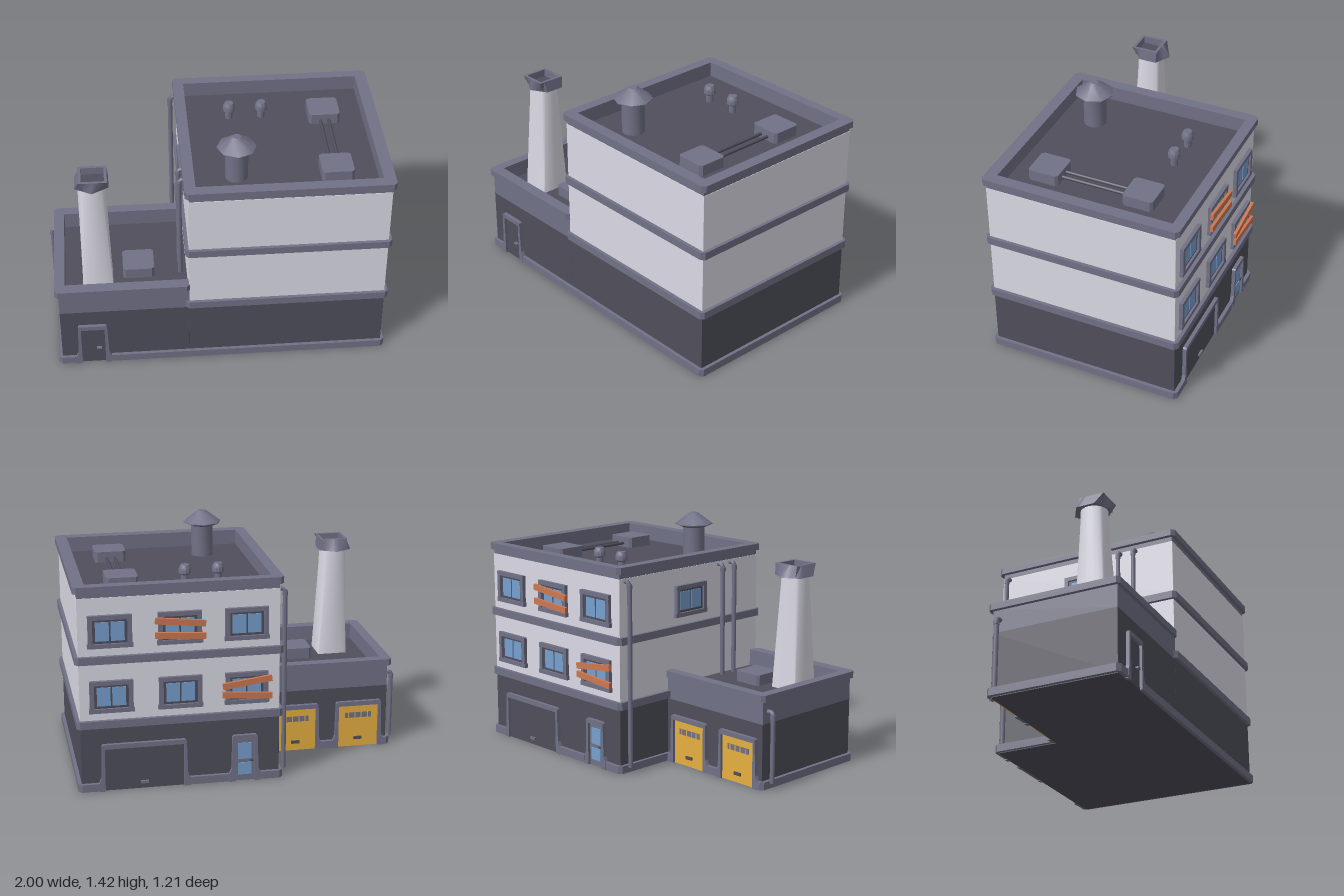
import * as THREE from 'three';
import { toCreasedNormals } from 'three/addons/utils/BufferGeometryUtils.js';

const material = (name, color) => {
  const m = new THREE.MeshStandardMaterial({ color });
  m.name = name;
  return m;
};

export function createModel() {
  const dark = material('dark grey', 0x4f4e5b);
  const trim = material('slate trim', 0x717187);
  const pale = material('pale wall', 0xdbdae5);
  const yellow = material('yellow door', 0xe8b040);
  const blue = material('blue glass', 0x76a0cf);
  const wood = material('orange wood', 0xcc7852);

  const model = new THREE.Group();
  model.name = 'building';

  const add = (parent, name, geo, mat, x = 0, y = 0, z = 0) => {
    const mesh = new THREE.Mesh(geo, mat);
    mesh.name = name;
    mesh.position.set(x, y, z);
    parent.add(mesh);
    return mesh;
  };
  const box = (parent, name, mat, w, h, d, x, y, z) =>
    add(parent, name, new THREE.BoxGeometry(w, h, d), mat, x, y, z);

  // upright prism over a floor plan given in x and z
  const prism = (name, mat, plan, y0, y1, opening) => {
    const points = list => list.map(([x, z]) => new THREE.Vector2(x, -z));
    const shape = new THREE.Shape(points(plan));
    if (opening) shape.holes.push(new THREE.Path(points(opening)));
    const geo = new THREE.ExtrudeGeometry(shape, { depth: y1 - y0, bevelEnabled: false });
    add(model, name, geo.rotateX(-Math.PI / 2), mat, 0, y0, 0);
  };
  // rectangular slab with cut corners and an optional rectangular opening
  const rectangle = ([x0, x1, z0, z1], c) => [
    [x0, z0 + c], [x0, z1 - c], [x0 + c, z1], [x1 - c, z1],
    [x1, z1 - c], [x1, z0 + c], [x1 - c, z0], [x0 + c, z0],
  ];
  const slab = (name, mat, rect, y0, y1, cut, hole) =>
    prism(name, mat, rectangle(rect, cut), y0, y1, hole && rectangle(hole, 0.001).reverse());

  // main block
  const wall = [-0.18, 0.98, -0.565, 0.585], edge = [-0.2, 1, -0.587, 0.605];
  const well = [-0.135, 0.93, -0.525, 0.535], lining = [-0.177, 0.977, -0.562, 0.582];
  slab('groundFloor', dark, wall, 0.005, 0.4, 0.001);
  slab('lowerBand', trim, edge, 0.39, 0.435, 0.02);
  slab('middleFloor', pale, wall, 0.435, 0.78, 0.001);
  slab('upperBand', trim, edge, 0.775, 0.82, 0.02);
  slab('topFloor', pale, wall, 0.82, 1.16, 0.001, lining);
  slab('parapet', trim, lining, 1.1, 1.19, 0.001, well);
  slab('roof', dark, [-0.17, 0.97, -0.555, 0.575], 1.1, 1.14, 0.001);
  slab('roofRim', trim, edge, 1.19, 1.23, 0.02, well);

  // low wing
  const wingWall = [-0.945, -0.18, -0.18, 0.585], wingWell = [-0.905, -0.179, -0.14, 0.535];
  slab('wingWall', dark, wingWall, 0.005, 0.385, 0.001);
  slab('wingParapet', trim, [-0.945, -0.175, -0.18, 0.585], 0.385, 0.53, 0.001, wingWell);
  slab('wingRoof', dark, [-0.94, -0.175, -0.175, 0.575], 0.386, 0.46, 0.001);
  slab('wingRim', trim, [-0.967, -0.175, -0.203, 0.605], 0.52, 0.56, 0.018, wingWell);

  // base course, notched at the doors
  prism('baseCourse', trim, [
    [-0.967, 0.585], [-0.947, 0.605], [-0.86, 0.605], [-0.86, 0.58], [-0.66, 0.58], [-0.66, 0.605],
    [0.98, 0.605], [1, 0.585], [1, -0.567], [0.98, -0.587],
    [0.88, -0.587], [0.88, -0.56], [0.35, -0.56], [0.35, -0.587],
    [0.12, -0.587], [0.12, -0.56], [-0.07, -0.56], [-0.07, -0.587],
    [-0.18, -0.587], [-0.2, -0.567], [-0.2, -0.203],
    [-0.215, -0.203], [-0.215, -0.175], [-0.525, -0.175], [-0.525, -0.203],
    [-0.61, -0.203], [-0.61, -0.175], [-0.92, -0.175], [-0.92, -0.203],
    [-0.947, -0.203], [-0.967, -0.183],
  ], 0.004, 0.05);
  // dark underside
  slab('underside', dark, [-0.945, 0.98, -0.18, 0.585], 0, 0.005, 0.001);
  slab('underside', dark, [-0.18, 0.98, -0.565, -0.18], 0, 0.005, 0.001);

  // groups standing on a wall, facing outwards along their own +z
  const onWall = (name, x, y, z, turn) => {
    const g = new THREE.Group();
    g.name = name;
    g.position.set(x, y, z);
    g.rotation.y = turn;
    model.add(g);
    return g;
  };

  // door surround that flares at the foot, with its panel
  const doorway = (name, x, z, turn, w, h, mat) => {
    const g = onWall(name, x, 0, z, turn);
    const a = w / 2, t = 0.022;
    const shape = new THREE.Shape([
      [-a - 0.035, 0], [-a - 0.035, 0.05], [-a - t, 0.08], [-a - t + 0.006, h + 0.02], [-a - t + 0.014, h + 0.028],
      [a + t - 0.014, h + 0.028], [a + t - 0.006, h + 0.02], [a + t, 0.08], [a + 0.035, 0.05], [a + 0.035, 0],
      [a, 0], [a, h], [-a, h], [-a, 0],
    ].map(p => new THREE.Vector2(...p)));
    add(g, 'doorFrame', new THREE.ExtrudeGeometry(shape, { depth: 0.022, bevelEnabled: false }), trim);
    box(g, 'doorPanel', mat, w, h, 0.006, 0, h / 2, 0.003);
    return g;
  };
  const frontDoor = doorway('frontDoor', -0.757, 0.585, 0, 0.14, 0.26, dark);
  box(frontDoor, 'handle', trim, 0.03, 0.01, 0.016, 0.035, 0.112, 0.014);
  const bigDoor = doorway('shutterDoor', 0.615, -0.565, Math.PI, 0.46, 0.26, dark);
  box(bigDoor, 'handle', trim, 0.045, 0.016, 0.014, 0, 0.04, 0.012);
  const glassDoor = doorway('glassDoor', 0.025, -0.565, Math.PI, 0.115, 0.26, trim);
  box(glassDoor, 'upperPane', blue, 0.08, 0.1, 0.005, 0, 0.185, 0.008);
  box(glassDoor, 'lowerPane', blue, 0.08, 0.075, 0.005, 0, 0.075, 0.008);
  box(glassDoor, 'handle', dark, 0.025, 0.01, 0.014, 0.04, 0.125, 0.012);
  for (const x of [-0.37, -0.765]) {
    const g = doorway('garageDoor', x, -0.18, Math.PI, 0.25, 0.27, yellow);
    box(g, 'ventPanel', trim, 0.165, 0.034, 0.005, 0, 0.205, 0.007);
    for (let i = 0; i < 4; i++) box(g, 'ventSlot', yellow, 0.006, 0.034, 0.005, -0.06 + i * 0.04, 0.205, 0.009);
    box(g, 'handle', dark, 0.05, 0.018, 0.012, 0, 0.055, 0.01);
  }

  // windows with two panes
  const windowAt = (x, y, z, turn) => {
    const g = onWall('window', x, y, z, turn);
    box(g, 'recess', dark, 0.23, 0.17, 0.008, 0, 0, 0.004);
    for (const s of [-1, 1]) {
      box(g, 'frameSide', trim, 0.025, 0.18, 0.022, s * 0.112, 0, 0.011);
      box(g, 'pane', blue, 0.078, 0.112, 0.005, s * 0.044, 0, 0.009);
    }
    box(g, 'frameTop', trim, 0.25, 0.025, 0.022, 0, 0.083, 0.011);
    box(g, 'sill', trim, 0.26, 0.025, 0.022, 0, -0.083, 0.011);
    return g;
  };
  // loose boards nailed over a window
  const boards = (g, tilts) => tilts.forEach(([y, tilt]) => {
    box(g, 'board', wood, 0.29, 0.036, 0.018, 0, y, 0.031).rotation.z = tilt;
  });
  for (const y of [0.578, 0.965]) for (const x of [0.797, 0.4, 0.015]) {
    const g = windowAt(x, y, -0.565, Math.PI);
    if (y > 0.9 && x === 0.4) boards(g, [[0.038, -0.1], [-0.042, -0.06]]);
    if (y < 0.9 && x === 0.015) boards(g, [[0.04, 0.13], [-0.038, -0.07]]);
  }
  windowAt(-0.18, 0.965, 0, -Math.PI / 2);

  // drainpipes with an elbow into the wall
  const drain = (wallX, z, y0, y1) => {
    const x = wallX - 0.038;
    const path = new THREE.CurvePath();
    const p = (px, py) => new THREE.Vector3(px, py, z);
    path.add(new THREE.LineCurve3(p(x, y0), p(x, y1 - 0.035)));
    path.add(new THREE.QuadraticBezierCurve3(p(x, y1 - 0.035), p(x, y1 - 0.015), p(x + 0.02, y1 - 0.015)));
    path.add(new THREE.LineCurve3(p(x + 0.02, y1 - 0.015), p(wallX + 0.01, y1 - 0.015)));
    add(model, 'drainpipe', new THREE.TubeGeometry(path, 40, 0.014, 8), trim);
    add(model, 'pipeCollar', new THREE.CylinderGeometry(0.017, 0.017, 0.025, 8), trim, x, y1 - 0.045, z);
  };
  drain(-0.18, -0.52, 0.04, 1.16);
  drain(-0.18, 0.245, 0.45, 1.16);
  drain(-0.18, 0.345, 0.45, 1.16);
  drain(-0.945, -0.135, 0.04, 0.47);

  // rooftop units and the pipes between them
  const unit = (x, z, y) => {
    slab('roofUnit', trim, [x - 0.093, x + 0.093, z - 0.092, z + 0.092], y, y + 0.065, 0.015);
  };
  unit(0.693, -0.248, 1.14);
  unit(0.693, 0.332, 1.14);
  unit(-0.467, 0.29, 0.46);
  for (const x of [0.668, 0.718]) {
    add(model, 'roofPipe', new THREE.CylinderGeometry(0.01, 0.01, 0.42, 8).rotateX(Math.PI / 2), dark, x, 1.165, 0.042);
  }

  // turned roof vents
  const turned = (name, points, sides, x, z) => {
    const geo = new THREE.LatheGeometry(points.map(p => new THREE.Vector2(...p)), sides);
    add(model, name, toCreasedNormals(geo, 0.5), trim, x, 0, z);
  };
  turned('ventStack', [[0.067, 1.13], [0.067, 1.33]], 16, 0.115, 0.328);
  turned('ventHood', [[0, 1.33], [0.08, 1.33], [0.115, 1.345], [0.115, 1.35], [0.035, 1.41], [0.025, 1.417], [0, 1.417]], 8, 0.115, 0.328);
  for (const x of [0.125, 0.32]) {
    turned('smallVent', [[0.022, 1.13], [0.022, 1.185], [0.036, 1.195], [0.036, 1.225], [0.026, 1.245], [0, 1.245]], 12, x, -0.27);
  }

  // chimney, blended from square to round sections
  const N = 24;
  const radius = {
    square: (a, r) => r / Math.max(Math.abs(Math.cos(a)), Math.abs(Math.sin(a))),
    round: (a, r) => r,
    hex: (a, r) => r * Math.cos(Math.PI / 6) / Math.cos((a + Math.PI * 11 / 6) % (Math.PI / 3) - Math.PI / 6),
  };
  const loft = (name, mat, sections) => {
    const pos = [], index = [];
    sections.forEach(([kind, r, y, x, z], k) => {
      for (let i = 0; i < N; i++) {
        const a = i / N * Math.PI * 2, q = radius[kind](a, r);
        pos.push(x + q * Math.cos(a), y, z + q * Math.sin(a));
        if (k === 0) continue;
        const t0 = k * N + i, t1 = k * N + (i + 1) % N;
        index.push(t0 - N, t0, t1 - N, t1 - N, t0, t1);
      }
    });
    const geo = new THREE.BufferGeometry();
    geo.setAttribute('position', new THREE.Float32BufferAttribute(pos, 3));
    geo.setIndex(index);
    add(model, name, toCreasedNormals(geo, 1), mat);
  };
  loft('chimneyShaft', pale, [
    ['square', 0.09, 0.45, -0.71, 0.345], ['round', 0.08, 1.15, -0.718, 0.335],
  ]);
  loft('chimneyCap', trim, [
    ['round', 0.07, 1.14, -0.718, 0.33], ['hex', 0.113, 1.14, -0.718, 0.323],
    ['square', 0.083, 1.21, -0.71, 0.345], ['square', 0.066, 1.21, -0.71, 0.345],
    ['square', 0.066, 1.16, -0.71, 0.345],
  ]);
  box(model, 'flue', dark, 0.134, 0.006, 0.134, -0.71, 1.163, 0.345);

  return model;
}
